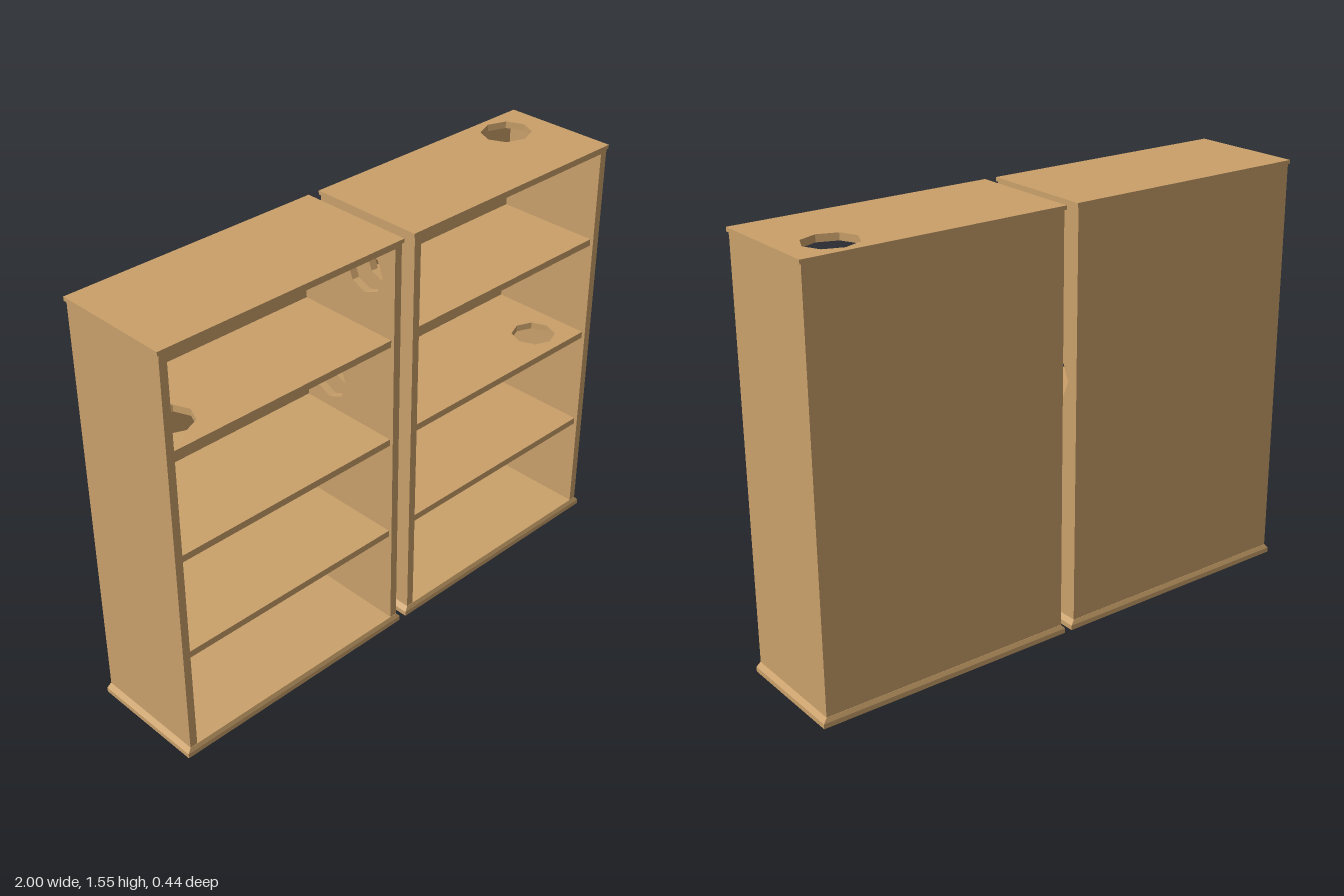
import * as THREE from 'three';

const wood = new THREE.MeshStandardMaterial({ color: 0xc9a06a });
wood.name = 'wood';

function add(group, name, geometry, x = 0, y = 0, z = 0) {
  const mesh = new THREE.Mesh(geometry, wood);
  mesh.name = name;
  mesh.position.set(x, y, z);
  group.add(mesh);
  return mesh;
}

// Flat board centred on the origin; each hole is an octagon [u, v, radiusU, radiusV]
function board(w, h, thickness, holes = []) {
  const shape = new THREE.Shape();
  shape.moveTo(-w / 2, -h / 2);
  shape.lineTo(w / 2, -h / 2);
  shape.lineTo(w / 2, h / 2);
  shape.lineTo(-w / 2, h / 2);
  shape.closePath();
  for (const [u, v, ru, rv] of holes) {
    const points = [];
    for (let i = 0; i < 8; i++) {
      const a = (-i * Math.PI) / 4;
      points.push(new THREE.Vector2(u + ru * Math.cos(a), v + rv * Math.sin(a)));
    }
    shape.holes.push(new THREE.Path(points));
  }
  const g = new THREE.ExtrudeGeometry(shape, { depth: thickness, bevelEnabled: false });
  g.translate(0, 0, -thickness / 2);
  return g;
}

// Horizontal board with holes given as [x, z, radius x, radius z]
const flatBoard = (w, d, t, holes = []) =>
  board(w, d, t, holes.map(([x, z, rx, rz]) => [x, -z, rx, rz])).rotateX(-Math.PI / 2);

// Upright side board with holes given as [y, z, radius], y measured from its middle
const sideBoard = (h, d, t, holes = []) =>
  board(d, h, t, holes.map(([y, z, r]) => [-z, y, r, r])).rotateY(Math.PI / 2);

// Box whose top or bottom face is resized to make a sloped moulding
function sloped(bottomW, bottomD, topW, topD, h) {
  const g = new THREE.BoxGeometry(1, h, 1).toNonIndexed();
  const p = g.attributes.position;
  for (let i = 0; i < p.count; i++) {
    const top = p.getY(i) > 0;
    p.setX(i, p.getX(i) * (top ? topW : bottomW));
    p.setZ(i, p.getZ(i) * (top ? topD : bottomD));
  }
  g.computeVertexNormals();
  return g;
}

// Curved bracket profile, starting in the corner under a shelf
function bracketGeometry(side) {
  const outline = [[0, 0], [0, -0.03], [0.05, -0.025], [0.075, -0.015], [0.15, -0.01], [0.175, 0]];
  const shape = new THREE.Shape(outline.map(([x, y]) => new THREE.Vector2(x * side, y)));
  return new THREE.ExtrudeGeometry(shape, { depth: 0.03, bevelEnabled: false });
}

function bookcase(name, innerSide, topHoles, shelfHoles) {
  const c = new THREE.Group();
  c.name = name;

  // Base moulding
  add(c, 'plinth', new THREE.BoxGeometry(0.985, 0.018, 0.44), 0, 0.009, 0);
  add(c, 'plinthSlope', sloped(0.985, 0.44, 0.957, 0.43, 0.017), 0, 0.0265, 0);

  // Sides; the one facing the neighbouring case has two round openings
  const h = 1.495;
  const mid = 0.035 + h / 2;
  const wallHoles = [[1.4 - mid, 0.08, 0.08], [0.924 - mid, -0.09, 0.08]];
  for (const s of [-1, 1]) {
    add(c, s < 0 ? 'rightSide' : 'leftSide',
      sideBoard(h, 0.428, 0.0285, s === innerSide ? wallHoles : []), s * 0.46425, mid, 0);
  }
  add(c, 'backPanel', new THREE.BoxGeometry(0.9, h, 0.015), 0, mid, -0.2065);

  // Top board with a slim overhang
  add(c, 'top', flatBoard(0.97, 0.436, 0.014, topHoles), 0, 1.543, 0);
  add(c, 'topUnderside', flatBoard(0.957, 0.43, 0.011, topHoles), 0, 1.5305, 0);

  // Shelves and their corner brackets
  [0.4075, 0.7925, 1.1775].forEach((y, i) => {
    add(c, 'shelf', flatBoard(0.9, 0.4, 0.025, shelfHoles[i] || []), 0, y, 0.001);
    for (const s of [-1, 1]) {
      add(c, 'bracket', bracketGeometry(-s), s * 0.45, y - 0.0125, -0.199);
    }
  });
  return c;
}

export function createModel() {
  const model = new THREE.Group();
  model.name = 'bookcasePair';
  const offset = 0.5075;

  const right = bookcase('rightBookcase', 1, [], [[], [], [[-0.345, 0.06, 0.08, 0.08]]]);
  right.position.x = -offset;

  const left = bookcase('leftBookcase', -1,
    [[0.315, -0.105, 0.096, 0.086]],
    [[[-0.318, -0.035, 0.098, 0.09]], [[0.312, 0.08, 0.08, 0.08]], []]);
  left.position.x = offset;

  model.add(right, left);
  return model;
}
